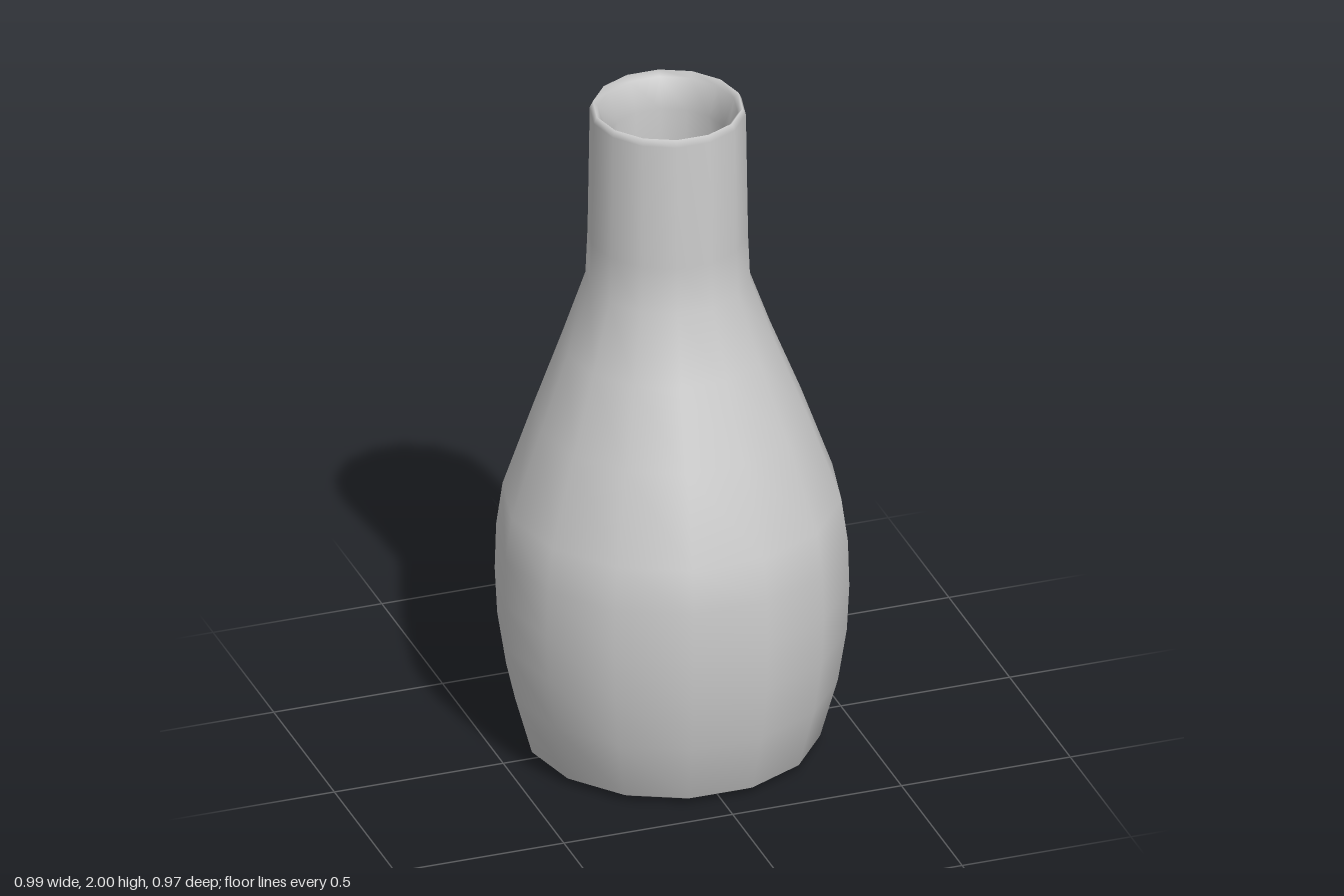
import * as THREE from 'three';

export function createModel() {
  const group = new THREE.Group();
  group.name = 'vase';
  const material = new THREE.MeshStandardMaterial({ color: 0xcccccc, side: THREE.DoubleSide });

  // One closed profile: dimpled base, belly, neck, rim, then the hollow inside
  const profile = [
    [0, 0.05], [0.27, 0.04], [0.38, 0], [0.415, 0.02],
    [0.465, 0.2], [0.49, 0.36], [0.497, 0.5], [0.493, 0.64], [0.475, 0.77],
    [0.385, 1.03], [0.3, 1.26], [0.231, 1.46], [0.225, 1.6], [0.219, 1.98],
    [0.21, 2], [0.196, 1.985], [0.165, 1.9], [0.168, 1.48], [0.31, 1.03],
    [0.42, 0.7], [0.42, 0.4], [0.34, 0.12], [0, 0.1],
  ].map(([r, y]) => new THREE.Vector2(r, y));

  const geometry = new THREE.LatheGeometry(profile, 14, Math.PI / 14);

  // The neck sits slightly off the axis of the belly
  const pos = geometry.attributes.position;
  for (let i = 0; i < pos.count; i++) {
    const t = THREE.MathUtils.smoothstep(pos.getY(i), 0.8, 1.46);
    pos.setX(i, pos.getX(i) - 0.016 * t);
    pos.setZ(i, pos.getZ(i) + 0.01 * t);
  }

  const body = new THREE.Mesh(geometry, material);
  body.name = 'vaseBody';
  group.add(body);
  return group;
}
